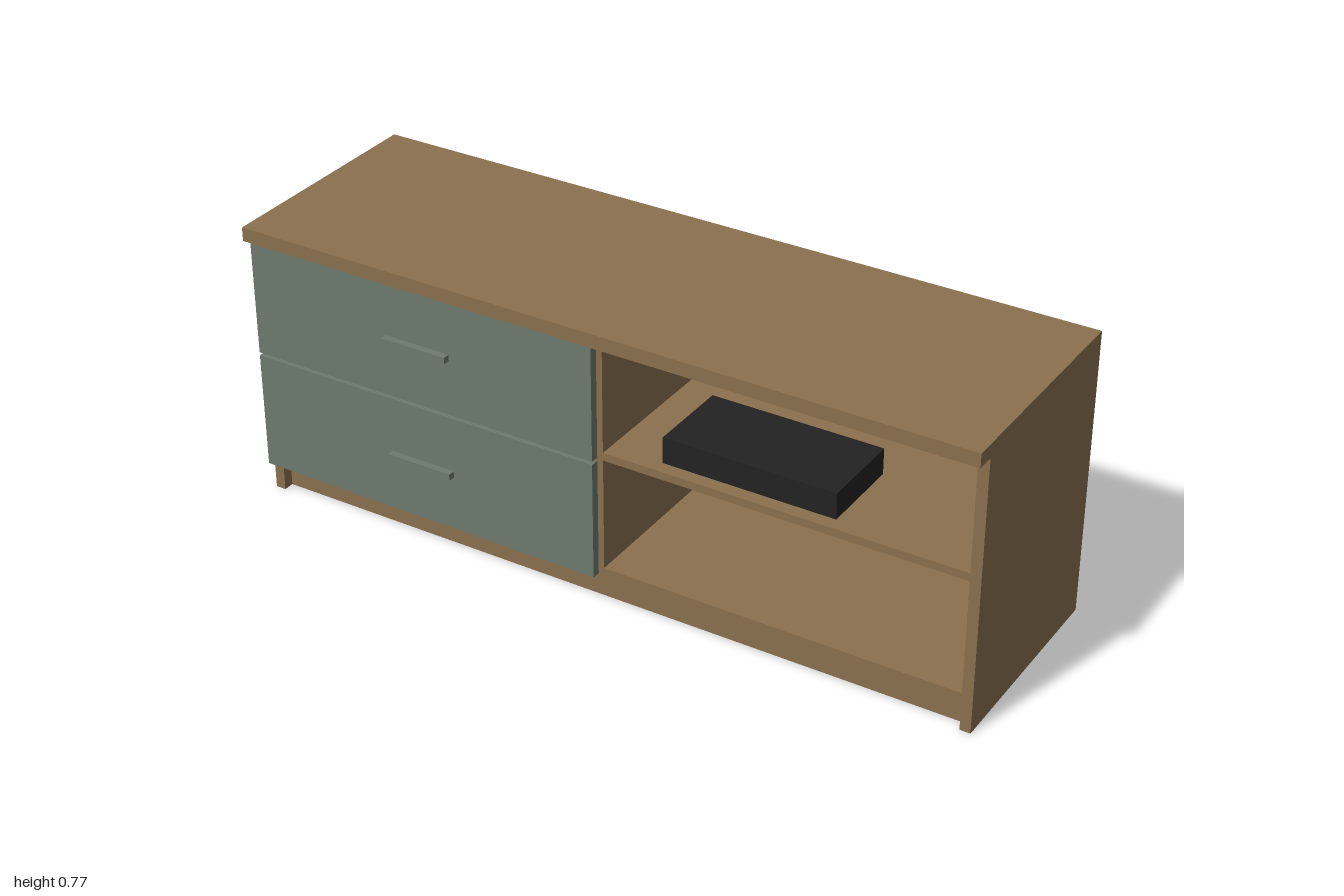
import * as THREE from 'three';

const wood = new THREE.MeshStandardMaterial({ color: 0x8a704e });
wood.name = 'brown wood';
const paint = new THREE.MeshStandardMaterial({ color: 0x6d7a6e });
paint.name = 'grey green paint';
const black = new THREE.MeshStandardMaterial({ color: 0x222222 });
black.name = 'black plastic';

// Box given by its lower and upper limits on each axis
function box(parent, name, material, [x0, x1], [y0, y1], [z0, z1]) {
  const mesh = new THREE.Mesh(new THREE.BoxGeometry(x1 - x0, y1 - y0, z1 - z0), material);
  mesh.position.set((x0 + x1) / 2, (y0 + y1) / 2, (z0 + z1) / 2);
  mesh.name = name;
  parent.add(mesh);
}

export function createModel() {
  const model = new THREE.Group();
  model.name = 'mediaCabinet';

  const back = -0.309, front = 0.264, side = 0.972;
  const depth = [back, front];

  // Carcass
  box(model, 'backPanel', wood, [-1, 1], [0, 0.775], [-0.313, back]);
  box(model, 'topPanel', wood, [-1, 1], [0.738, 0.775], [back, 0.313]);
  box(model, 'leftSidePanel', wood, [side, 1], [0, 0.738], depth);
  box(model, 'rightSidePanel', wood, [-1, -side], [0, 0.738], depth);
  box(model, 'bottomPanel', wood, [-side, side], [0.083, 0.103], depth);
  box(model, 'plinth', wood, [-side, side], [0, 0.083], [0.21, 0.235]);
  box(model, 'divider', wood, [-0.015, 0.012], [0.103, 0.738], depth);
  box(model, 'shelf', wood, [0.012, side], [0.409, 0.43], depth);

  // Two drawer fronts with bar handles
  [0.083, 0.412].forEach((y, i) => {
    const drawer = new THREE.Group();
    drawer.name = i ? 'upperDrawer' : 'lowerDrawer';
    box(drawer, 'drawerFront', paint, [-1, -0.004], [y, y + 0.32], [front, 0.287]);
    box(drawer, 'handle', paint, [-0.595, -0.41], [y + 0.152, y + 0.169], [0.287, 0.306]);
    model.add(drawer);
  });

  // Media player on the shelf
  box(model, 'mediaPlayer', black, [0.155, 0.617], [0.43, 0.5], [0, 0.228]);

  return model;
}
